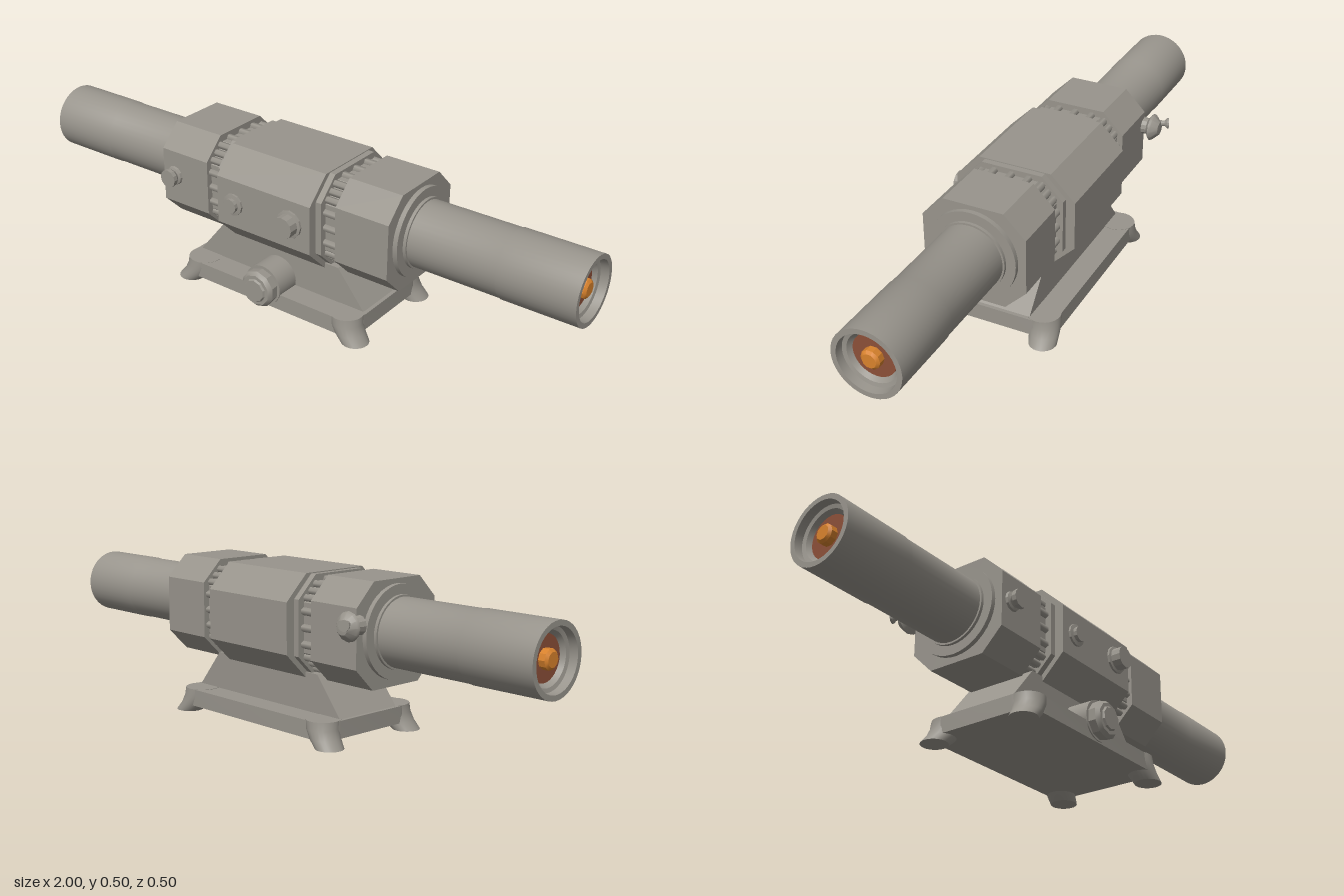
import * as THREE from 'three';
import { toCreasedNormals } from 'three/addons/utils/BufferGeometryUtils.js';

const AXIS_Y = 0.342;

export function createModel() {
  const mat = (name, color) => {
    const m = new THREE.MeshStandardMaterial({ color });
    m.name = name;
    return m;
  };
  const grey = mat('castGrey', 0x98948c);
  const brown = mat('insulatorBrown', 0x8c4f38);
  const orange = mat('copperOrange', 0xd8822c);

  const root = new THREE.Group();
  root.name = 'housingAssembly';
  const add = (parent, name, geo, material = grey) => {
    const m = new THREE.Mesh(geo, material);
    m.name = name;
    parent.add(m);
    return m;
  };
  const lathe = (pts, n = 40) =>
    toCreasedNormals(new THREE.LatheGeometry(pts.map(([r, y]) => new THREE.Vector2(r, y)), n), 0.5);

  // corners of a chamfered rectangle: half width, half height, chamfer
  const octPoints = (w, h, c) => [
    [w, c - h], [w, h - c], [w - c, h], [c - w, h],
    [-w, h - c], [-w, c - h], [c - w, -h], [w - c, -h],
  ].map(([x, y]) => new THREE.Vector2(x, y));
  // octagonal prism running along x from x0 to x1
  const octPrism = (w, h, c, x0, x1) =>
    new THREE.ExtrudeGeometry(new THREE.Shape(octPoints(w, h, c)), { depth: x1 - x0, bevelEnabled: false })
      .rotateY(Math.PI / 2).translate(x0, AXIS_Y, 0);

  // central housing
  add(root, 'centreHousing', octPrism(0.2, 0.16, 0.08, -0.18, 0.18));

  // each end: bolted joint, end cap, flange, barrel and terminal
  for (const side of [0, 1]) {
    const end = new THREE.Group();
    end.name = side ? 'rightEnd' : 'leftEnd';
    end.rotation.y = side * Math.PI;
    root.add(end);
    add(end, 'jointFlange', octPrism(0.17, 0.157, 0.07, 0.18, 0.2));
    add(end, 'jointCore', octPrism(0.148, 0.137, 0.06, 0.2, 0.25));
    add(end, 'endCap', octPrism(0.168, 0.16, 0.07, 0.25, 0.437));

    // three bolts along every side of the joint
    const ring = octPoints(0.15, 0.139, 0.06);
    ring.forEach((a, i) => {
      const b = ring[(i + 1) % 8];
      const angle = Math.atan2(b.y - a.y, b.x - a.x);
      for (const t of [0.18, 0.5, 0.82]) {
        const p = a.clone().lerp(b, t);
        const bolt = add(end, 'jointBolt', new THREE.CylinderGeometry(0.012, 0.012, 0.05, 6).rotateZ(Math.PI / 2));
        bolt.position.set(0.225, AXIS_Y + p.y, p.x);
        bolt.rotation.x = -angle;
      }
    });

    const barrel = new THREE.Group();
    barrel.name = 'barrelAssembly';
    barrel.position.y = AXIS_Y + 0.003;
    barrel.rotation.z = -Math.PI / 2;
    end.add(barrel);
    add(barrel, 'barrelFlange', lathe([[0.143, 0.43], [0.143, 0.452], [0.112, 0.452], [0.112, 0.462], [0.1, 0.462]]));
    add(barrel, 'barrel', lathe([
      [0.106, 0.44], [0.106, 0.75], [0.108, 0.755], [0.108, 1],
      [0.092, 1], [0.09, 0.975], [0.078, 0.972], [0.066, 0.952],
    ]));
    add(barrel, 'insulatorDisc', new THREE.CylinderGeometry(0.067, 0.067, 0.02, 32).translate(0, 0.95, 0), brown);
    add(barrel, 'terminal', lathe([[0.03, 0.95], [0.03, 0.98], [0.022, 0.987], [0, 0.987]], 10), orange);
  }

  // pedestal
  const wedge = new THREE.Shape([[-0.335, 0.07], [0.335, 0.07], [0.23, 0.2], [-0.23, 0.2]]
    .map(([x, y]) => new THREE.Vector2(x, y)));
  add(root, 'pedestal', new THREE.ExtrudeGeometry(wedge, { depth: 0.244, bevelEnabled: false }).translate(0, 0, -0.122));

  // base plate with rounded corners
  const w = 0.34, d = 0.2, r = 0.07;
  const plate = new THREE.Shape();
  plate.absarc(w - r, d - r, r, 0, Math.PI / 2);
  plate.absarc(r - w, d - r, r, Math.PI / 2, Math.PI);
  plate.absarc(r - w, r - d, r, Math.PI, Math.PI * 1.5);
  plate.absarc(w - r, r - d, r, Math.PI * 1.5, Math.PI * 2);
  add(root, 'basePlate', toCreasedNormals(
    new THREE.ExtrudeGeometry(plate, { depth: 0.055, bevelEnabled: false, curveSegments: 8 })
      .rotateX(-Math.PI / 2).translate(0, 0.024, 0), 0.5));

  // splayed feet, sheared outwards towards the ground
  for (const sx of [-1, 1]) for (const sz of [-1, 1]) {
    const g = new THREE.CylinderGeometry(0.055, 0.044, 0.08, 24, 3).translate(0, 0.04, 0);
    const p = g.attributes.position;
    for (let i = 0; i < p.count; i++) {
      const t = 1 - p.getY(i) / 0.08;
      p.setX(i, p.getX(i) + sx * (0.286 + 0.045 * t * t));
      p.setZ(i, p.getZ(i) + sz * (0.15 + 0.018 * t));
    }
    g.computeVertexNormals();
    add(root, 'foot', toCreasedNormals(g, 0.6));
  }

  // turned fittings facing +z (or -z when back is set)
  const fitting = (name, x, y, z, pts, n = 24, back = false) => {
    const m = add(root, name, lathe(pts, n));
    m.position.set(x, y, z);
    m.rotation.x = back ? -Math.PI / 2 : Math.PI / 2;
    return m;
  };
  fitting('drainBoss', 0, 0.095, 0.1, [[0.067, 0], [0.067, 0.104], [0, 0.104]], 32);
  fitting('drainPlug', 0, 0.093, 0.2, [[0.06, 0], [0.062, 0.03], [0.052, 0.042], [0.04, 0.042], [0.036, 0.048], [0, 0.048]], 10);
  fitting('largeKnob', 0.105, 0.345, 0.195, [[0.045, 0], [0.045, 0.012], [0.036, 0.014], [0.036, 0.045], [0, 0.045]], 12);
  fitting('smallKnob', -0.115, 0.342, 0.195, [[0.036, 0], [0.036, 0.012], [0.024, 0.014], [0.024, 0.026], [0, 0.026]], 12);
  fitting('capKnob', -0.39, 0.348, 0.16, [[0.034, 0], [0.03, 0.015], [0.022, 0.018], [0.03, 0.03], [0.03, 0.044], [0, 0.044]], 12);

  // rear valve: conical boss with a flared stalk
  fitting('valveBoss', -0.435, 0.383, -0.155, [[0.03, 0], [0.026, 0.03], [0.045, 0.042], [0.042, 0.05], [0.022, 0.07], [0, 0.072]], 12, true);
  const stalk = fitting('valveStalk', -0.45, 0.395, -0.215, [[0.01, 0], [0.009, 0.02], [0.017, 0.028], [0.017, 0.034], [0, 0.034]], 12, true);
  stalk.rotation.z = 0.4;

  return root;
}
